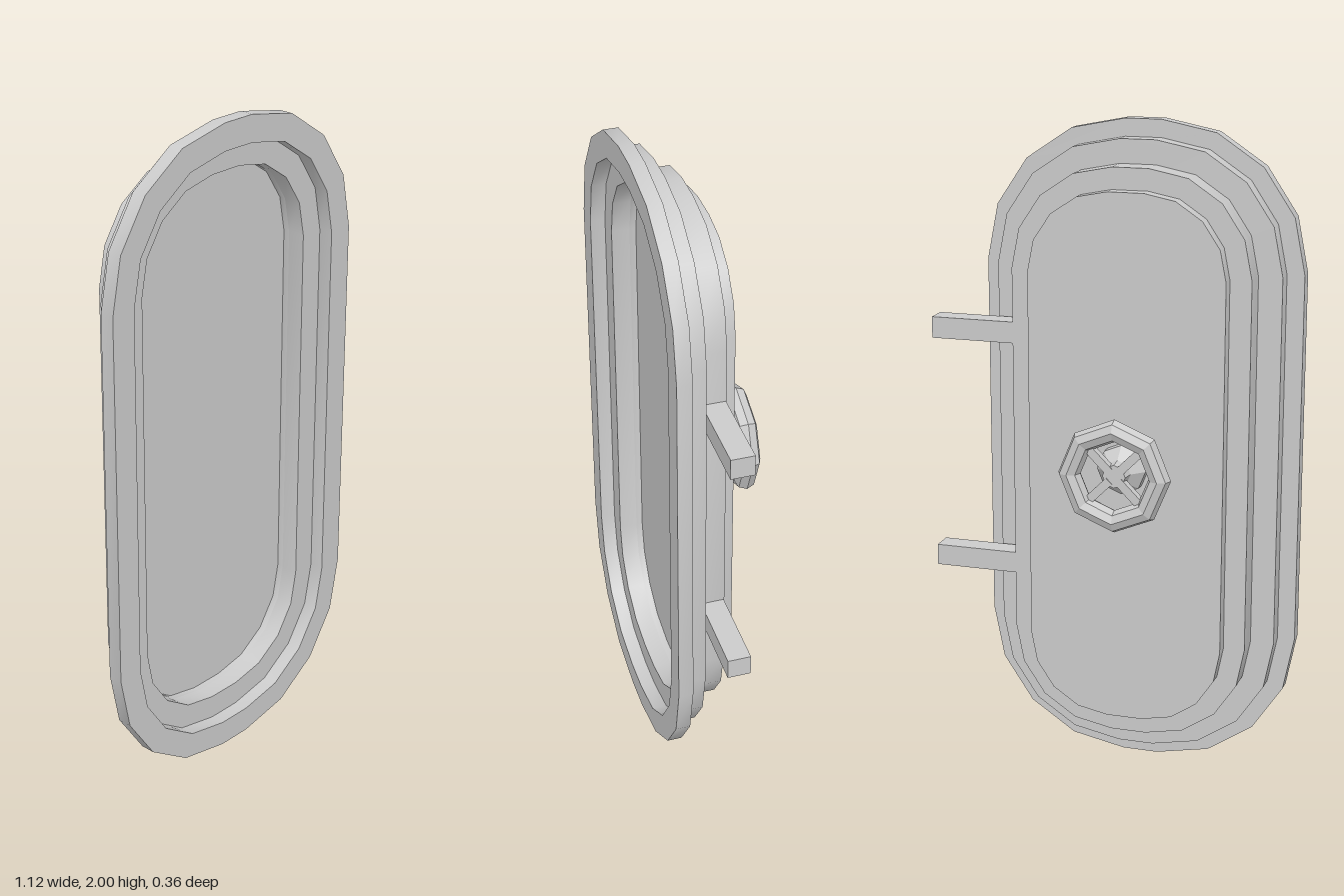
import * as THREE from 'three';
import { toCreasedNormals } from 'three/addons/utils/BufferGeometryUtils.js';

const CX = -0.07; // door centre line
const material = new THREE.MeshStandardMaterial({ color: 0xcccccc });
const flat = new THREE.MeshStandardMaterial({ color: 0xcccccc, flatShading: true });

function add(parent, name, geometry, mat = material) {
  const mesh = new THREE.Mesh(geometry, mat);
  mesh.name = name;
  parent.add(mesh);
  return mesh;
}

// Rounded door outline, moved inwards by inset; four facets per corner
function outline(inset) {
  const r = 0.435 - inset, pts = [];
  const corners = [[1, 1], [-1, 1], [-1, -1], [1, -1]];
  corners.forEach(([sx, sy], c) => {
    for (let i = 0; i <= 4; i++) {
      const a = (c + i / 4) * Math.PI / 2;
      pts.push(new THREE.Vector2(sx * 0.055 + r * Math.cos(a), sy * 0.565 + r * Math.sin(a)));
    }
  });
  return pts;
}

// Door slab between two depths, optionally with an opening
function slab(inset, z0, z1, holeInset) {
  const shape = new THREE.Shape(outline(inset));
  if (holeInset !== undefined) shape.holes.push(new THREE.Path(outline(holeInset).reverse()));
  const g = new THREE.ExtrudeGeometry(shape, { depth: z1 - z0, bevelEnabled: false });
  return toCreasedNormals(g.translate(CX, 1, z0), 0.45);
}

export function createModel() {
  const model = new THREE.Group();
  model.name = 'hatchDoor';

  // Stepped door, hollow towards the front
  add(model, 'outerFrame', slab(0, 0.135, 0.18, 0.08));
  add(model, 'innerFrame', slab(0.053, 0.08, 0.135, 0.155));
  add(model, 'panelRim', slab(0.125, 0.06, 0.08, 0.155));
  add(model, 'doorPanel', slab(0.125, 0, 0.06));
  add(model, 'backPanel', slab(0.19, -0.045, 0));

  // Hinge arms on the left edge
  for (const y of [0.64, 1.367]) {
    add(model, 'hingeArm', new THREE.BoxGeometry(0.285, 0.065, 0.07)).position.set(0.4125, y, 0.037);
  }

  // Hand wheel on the back
  const wheel = new THREE.Group();
  wheel.name = 'handWheel';
  wheel.position.set(CX, 0.995, 0);
  model.add(wheel);

  add(wheel, 'wheelRim', new THREE.TorusGeometry(0.138, 0.034, 8, 8), flat).position.z = -0.149;

  const profile = [[0, 0.04], [0.075, 0.04], [0.075, 0.08], [0.04, 0.118], [0.035, 0.155], [0, 0.155]];
  const hub = new THREE.LatheGeometry(profile.map(([r, h]) => new THREE.Vector2(r, h)), 8);
  add(wheel, 'wheelHub', hub, flat).rotation.x = -Math.PI / 2;

  for (let i = 0; i < 4; i++) {
    const spoke = new THREE.BoxGeometry(0.11, 0.026, 0.026).translate(0.075, 0, 0);
    const mesh = add(wheel, 'wheelSpoke', spoke);
    mesh.position.z = -0.145;
    mesh.rotation.z = Math.PI / 4 + i * Math.PI / 2;
  }
  return model;
}
